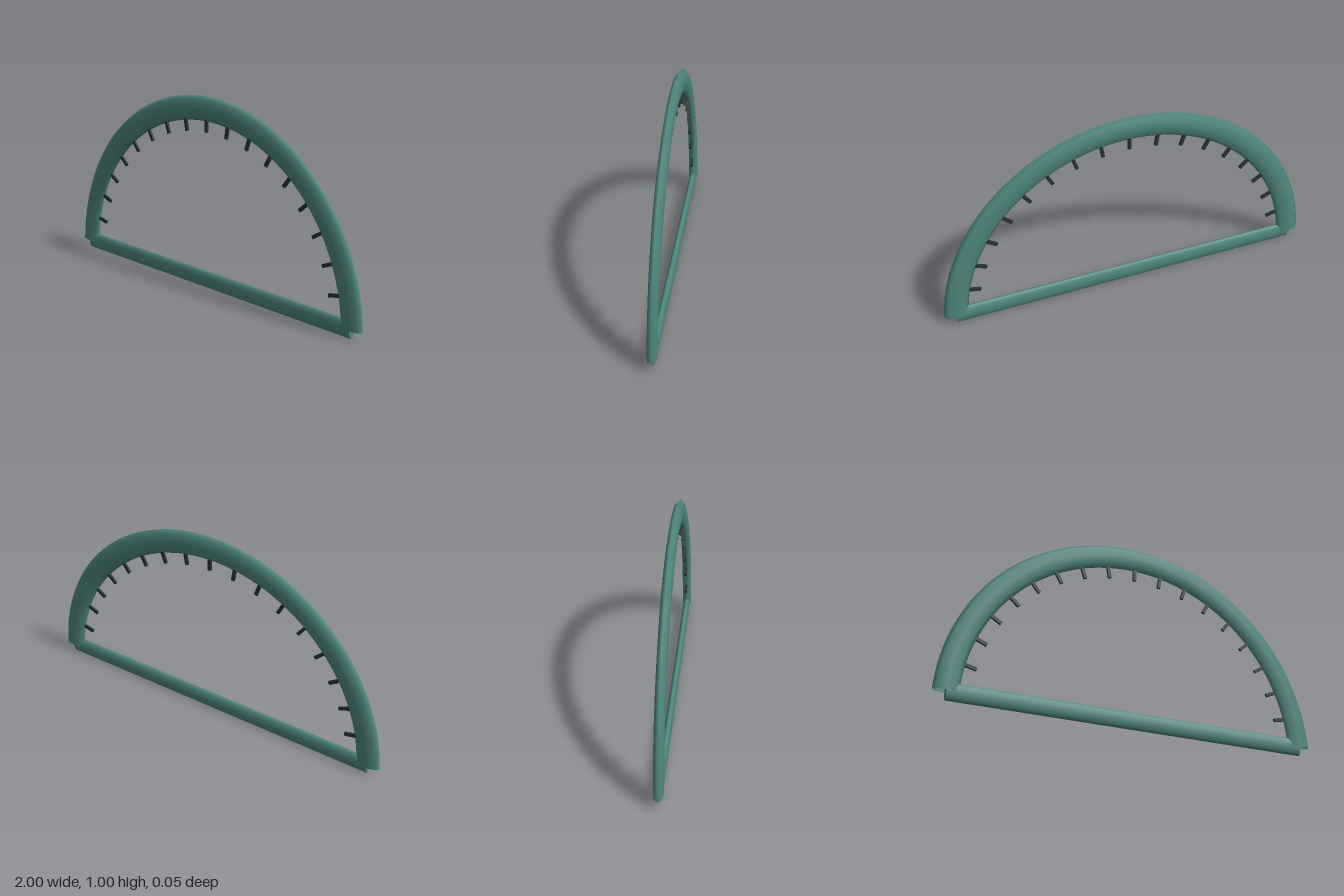
import * as THREE from 'three';

export function createModel() {
  const group = new THREE.Group();
  const teal = new THREE.MeshStandardMaterial({ color: 0x4f877f, side: THREE.DoubleSide });
  teal.name = 'muted teal';
  const dark = new THREE.MeshStandardMaterial({ color: 0x263333 });
  dark.name = 'dark slate';

  const radius = 0.9375, tube = 0.0625, flat = 0.4;
  const start = THREE.MathUtils.degToRad(3);
  const span = Math.PI - 2 * start;
  const centreY = -0.004;

  const add = (name, geometry, material, parent = group) => {
    const mesh = new THREE.Mesh(geometry, material);
    mesh.name = name;
    parent.add(mesh);
    return mesh;
  };

  // flattened eight-sided tube bent into an arc, open at both ends
  const arcGeometry = new THREE.TorusGeometry(radius, tube, 8, 72, span);
  arcGeometry.rotateZ(start).scale(1, 1, flat);
  add('arcRim', arcGeometry, teal).position.y = centreY;

  // straight base joining the arc ends
  const barGeometry = new THREE.CylinderGeometry(0.045, 0.045, 2 * radius * Math.cos(start), 16);
  barGeometry.rotateZ(Math.PI / 2).scale(1, 1, flat);
  add('baseBar', barGeometry, teal).position.y = 0.045;

  // degree ticks pointing inward from the rim
  const ticks = new THREE.Group();
  ticks.name = 'degreeTicks';
  ticks.position.y = centreY;
  group.add(ticks);
  const tickGeometry = new THREE.BoxGeometry(0.07, 0.017, 0.012);
  for (let i = 1; i < 18; i++) {
    const angle = start + span * i / 18;
    const tick = add('tick', tickGeometry, dark, ticks);
    tick.position.set(0.854 * Math.cos(angle), 0.854 * Math.sin(angle), 0);
    tick.rotation.z = angle;
  }
  return group;
}
